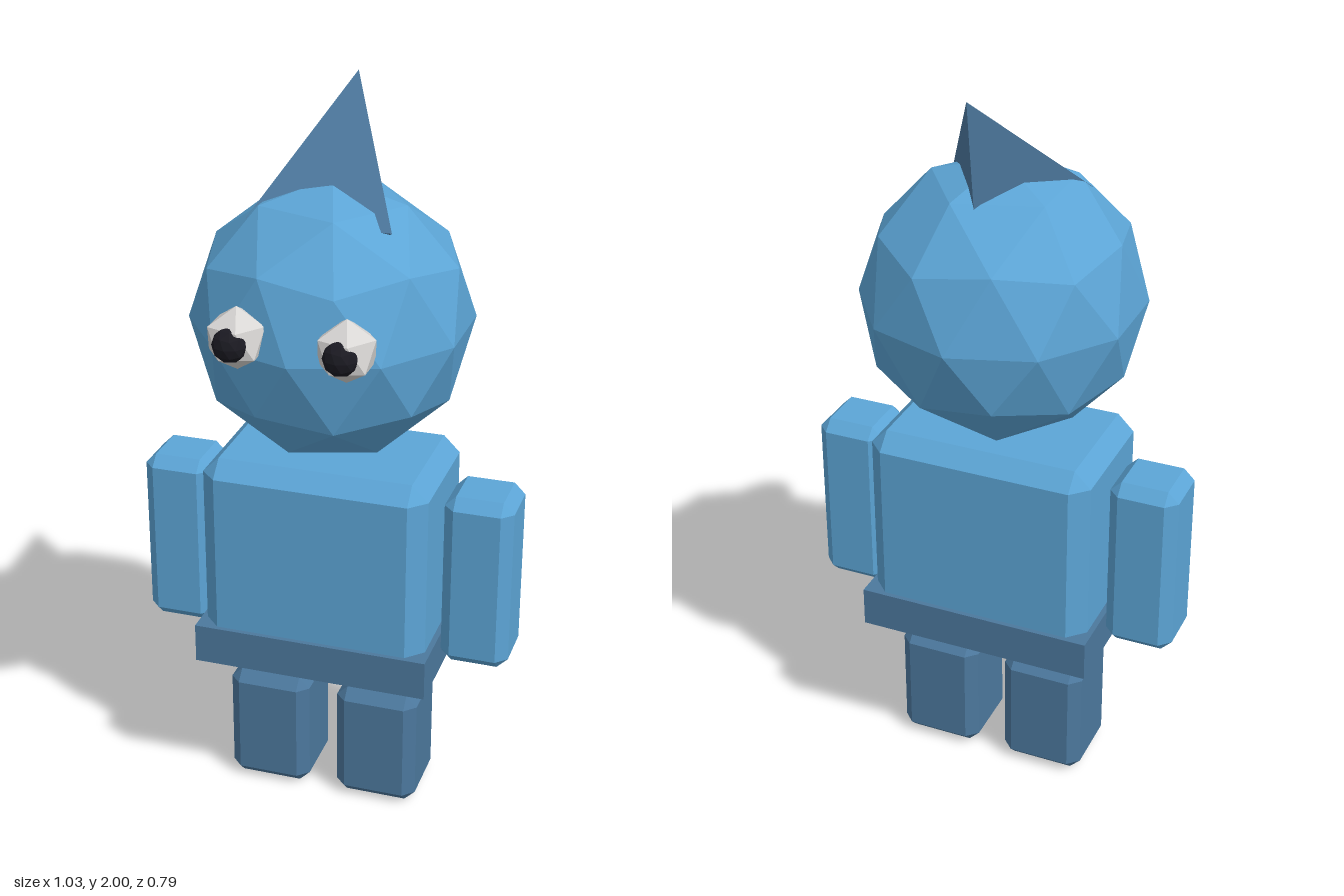
import * as THREE from 'three';
import { ConvexGeometry } from 'three/addons/geometries/ConvexGeometry.js';

const DEPTH = -0.026; // shared centre plane of body and head

function flat(name, color) {
  const m = new THREE.MeshStandardMaterial({ color, flatShading: true });
  m.name = name;
  return m;
}

// Box with every edge cut by one flat bevel
function chamferBox(w, h, d, c) {
  const pts = [];
  for (const sx of [-1, 1]) for (const sy of [-1, 1]) for (const sz of [-1, 1]) {
    const [x, y, z] = [w / 2, h / 2, d / 2];
    pts.push(
      new THREE.Vector3(sx * x, sy * (y - c), sz * (z - c)),
      new THREE.Vector3(sx * (x - c), sy * y, sz * (z - c)),
      new THREE.Vector3(sx * (x - c), sy * (y - c), sz * z)
    );
  }
  return new ConvexGeometry(pts);
}

// Low-poly ball with a vertex at each pole
function icoBall(r, detail) {
  const t = (1 + Math.sqrt(5)) / 2;
  return new THREE.IcosahedronGeometry(r, detail).rotateZ(-Math.atan(1 / t));
}

export function createModel() {
  const root = new THREE.Group();
  root.name = 'figure';

  const skin = flat('light blue', 0x5ca5d6);
  const dark = flat('dark blue', 0x4c789d);
  const white = flat('eye white', 0xd8d6d4);
  const black = flat('pupil black', 0x1b1a22);

  const add = (name, geo, mat, x, y, z) => {
    const m = new THREE.Mesh(geo, mat);
    m.name = name;
    m.position.set(x, y, z);
    root.add(m);
    return m;
  };

  // Torso and belt
  add('torso', chamferBox(0.62, 0.62, 0.41, 0.045), skin, 0, 0.725, DEPTH);
  add('belt', new THREE.BoxGeometry(0.65, 0.11, 0.436), dark, 0, 0.489, DEPTH);

  // Head and backward-leaning three-sided spike
  add('head', icoBall(0.372, 1), skin, 0, 1.409, DEPTH);
  const spike = new THREE.ConeGeometry(0.22, 0.444, 3).rotateY(Math.PI);
  add('headSpike', spike, dark, 0, 1.815, -0.118).rotation.x = -0.585;

  // Paired limbs and eyes
  for (const [side, s] of [['left', 1], ['right', -1]]) {
    add(side + 'Arm', chamferBox(0.187, 0.496, 0.187, 0.03), skin, s * 0.422, 0.723, DEPTH);
    add(side + 'Leg', chamferBox(0.23, 0.342, 0.23, 0.03), dark, s * 0.156, 0.174, DEPTH);
    add(side + 'Eye', icoBall(0.083, 0), white, s * 0.141, 1.457, 0.303);
    add(side + 'Pupil', icoBall(0.046, 1), black, s * 0.141, 1.457, 0.35);
  }

  return root;
}
